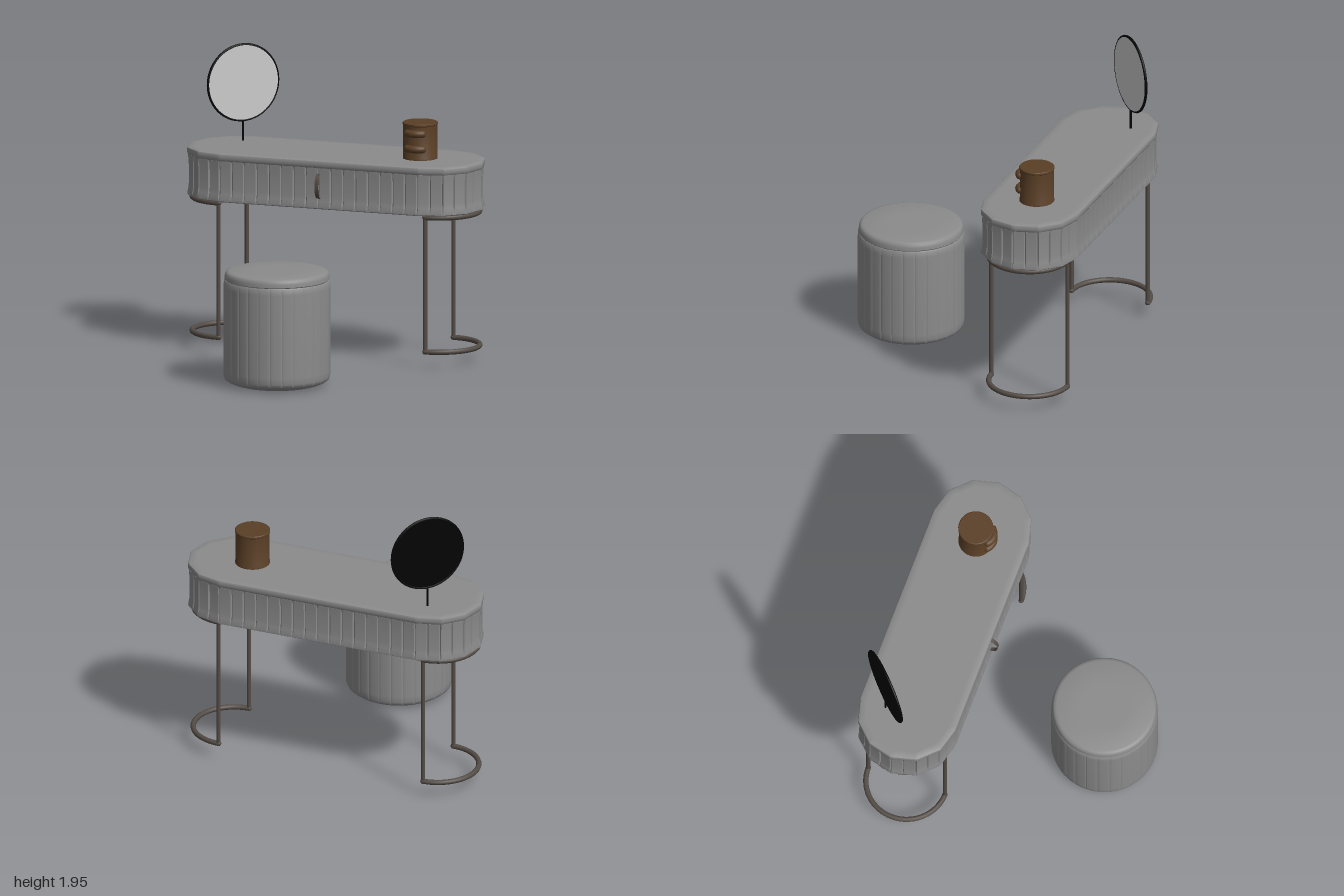
import * as THREE from 'three';
import { toCreasedNormals } from 'three/addons/utils/BufferGeometryUtils.js';

const glass = new THREE.MeshStandardMaterial({ color: 0xcccccc });
const grey = new THREE.MeshStandardMaterial({ color: 0x8b8b8b });
const metal = new THREE.MeshStandardMaterial({ color: 0x544c46 });
const metalBand = new THREE.MeshStandardMaterial({ color: 0x544c46, side: THREE.DoubleSide });
const brown = new THREE.MeshStandardMaterial({ color: 0x5a3f26 });
const black = new THREE.MeshStandardMaterial({ color: 0x030303 });

function add(parent, name, geometry, material, x = 0, y = 0, z = 0) {
  const mesh = new THREE.Mesh(geometry, material);
  mesh.name = name;
  mesh.position.set(x, y, z);
  parent.add(mesh);
  return mesh;
}

// Closed solid from stacked rings: each row is [y, inset, groove depth].
// Outline points lie in the xz plane; core is the half length of the straight side.
function loft(outline, core, rows, grooveStep) {
  const n = outline.length, pos = [], index = [];
  for (const [y, inset, groove] of rows) {
    outline.forEach((p, j) => {
      const dx = p.x - THREE.MathUtils.clamp(p.x, -core, core);
      const len = Math.hypot(dx, p.y);
      const d = inset + (j % grooveStep === 0 ? groove : 0);
      pos.push(p.x - (dx / len) * d, y, p.y - (p.y / len) * d);
    });
  }
  for (let i = 0; i < rows.length - 1; i++) {
    for (let j = 0; j < n; j++) {
      const k = (j + 1) % n, a = i * n, b = a + n;
      index.push(a + j, b + j, a + k, b + j, b + k, a + k);
    }
  }
  const last = (rows.length - 1) * n, bottom = rows.length * n;
  pos.push(0, rows[0][0], 0, 0, rows[rows.length - 1][0], 0);
  for (let j = 0; j < n; j++) {
    const k = (j + 1) % n;
    index.push(bottom, j, k, bottom + 1, last + k, last + j);
  }
  const g = new THREE.BufferGeometry();
  g.setAttribute('position', new THREE.Float32BufferAttribute(pos, 3));
  g.setIndex(index);
  return toCreasedNormals(g, 0.6);
}

// Evenly spaced points on a long outline with six-sided half-round ends
function tableOutline(count) {
  const path = new THREE.Path();
  for (const side of [1, -1]) {
    for (let i = 0; i <= 6; i++) {
      const a = ((i - 3) * Math.PI) / 6;
      const x = side * (0.68 + 0.32 * Math.cos(a)), z = side * 0.325 * Math.sin(a);
      if (side === 1 && i === 0) path.moveTo(x, z);
      else path.lineTo(x, z);
    }
  }
  path.closePath();
  return path.getSpacedPoints(count).slice(0, count);
}

function circleOutline(r, count) {
  return Array.from({ length: count }, (_, i) => {
    const a = (i / count) * Math.PI * 2;
    return new THREE.Vector2(Math.cos(a) * r, Math.sin(a) * r);
  });
}

function makeTable() {
  const table = new THREE.Group();
  table.name = 'table';
  table.position.z = -0.55;
  const outline = tableOutline(672);

  // Fluted, slightly waisted drawer body and plain top slab
  add(table, 'flutedBody', loft(outline, 0.68, [
    [1.0, 0.05, 0], [1.0, 0.012, 0], [1.006, 0.003, 0], [1.02, 0.002, 0.004], [1.05, 0.008, 0.008],
    [1.08, 0.011, 0.008], [1.2, 0.011, 0.008], [1.24, 0.008, 0.008], [1.268, 0.006, 0.004],
  ], 12), grey);
  add(table, 'tableTop', loft(outline, 0.68, [
    [1.264, 0.01, 0], [1.272, 0.004, 0], [1.285, 0, 0], [1.305, 0, 0],
    [1.312, 0.003, 0], [1.317, 0.012, 0], [1.317, 0.05, 0],
  ], 12), grey);

  // Curved strap pull on the drawer front
  const pull = new THREE.CylinderGeometry(1, 1, 0.026, 24, 1, true, -Math.PI / 2, Math.PI);
  pull.rotateZ(Math.PI / 2);
  pull.scale(1, 0.082, 0.052);
  add(table, 'drawerPull', pull, metalBand, 0, 1.15, 0.312);

  // Leg frames: two posts joined by half rings at top and bottom
  for (const side of [1, -1]) {
    const leg = new THREE.Group();
    leg.name = side > 0 ? 'leftLegFrame' : 'rightLegFrame';
    for (const z of [-0.262, 0.262]) {
      add(leg, 'legPost', new THREE.CylinderGeometry(0.014, 0.014, 0.89, 12), metal, side * 0.705, 0.54, z);
    }
    for (const [y, name] of [[0.983, 'upperRing'], [0.107, 'footRing']]) {
      const ring = new THREE.TorusGeometry(0.262, 0.017, 10, 32, Math.PI);
      ring.rotateX(Math.PI / 2);
      ring.rotateY((side * Math.PI) / 2);
      add(leg, name, ring, metal, side * 0.703, y, 0);
      for (const z of [-0.262, 0.262]) {
        add(leg, 'ringEnd', new THREE.SphereGeometry(0.017, 12, 8), metal, side * 0.703, y, z);
      }
    }
    table.add(leg);
  }
  return table;
}

function makeStool() {
  const stool = new THREE.Group();
  stool.name = 'stool';
  stool.position.z = 0.54;
  const outline = circleOutline(0.342, 336);
  add(stool, 'stoolBody', loft(outline, 0, [
    [0, 0.16, 0], [0.004, 0.09, 0], [0.014, 0.055, 0], [0.026, 0.026, 0], [0.04, 0.008, 0.001],
    [0.06, 0.001, 0.003], [0.1, 0, 0.003], [0.64, 0, 0.003], [0.675, 0.002, 0.002], [0.685, 0.008, 0],
  ], 12), grey);
  add(stool, 'seatCushion', loft(circleOutline(0.342, 64), 0, [
    [0.68, 0.014, 0], [0.69, 0.006, 0], [0.71, 0.007, 0], [0.728, 0.011, 0],
    [0.738, 0.02, 0], [0.743, 0.036, 0], [0.746, 0.18, 0], [0.746, 0.22, 0],
  ], 8), grey);
  return stool;
}

function makeMirror() {
  const mirror = new THREE.Group();
  mirror.name = 'mirror';
  mirror.position.set(-0.69, 1.697, -0.7);
  mirror.rotation.y = Math.PI / 4;
  const back = new THREE.CylinderGeometry(0.246, 0.246, 0.012, 64);
  back.rotateX(Math.PI / 2);
  add(mirror, 'mirrorBack', back, black);
  add(mirror, 'mirrorGlass', new THREE.CircleGeometry(0.243, 64), glass, 0, 0, 0.008);
  add(mirror, 'mirrorRim', new THREE.TorusGeometry(0.246, 0.009, 10, 64), black);
  add(mirror, 'mirrorStem', new THREE.CylinderGeometry(0.007, 0.007, 0.15, 12), black, 0, -0.315, 0);
  return mirror;
}

function makeCanister() {
  const canister = new THREE.Group();
  canister.name = 'canister';
  canister.position.set(0.575, 1.315, -0.55);
  const profile = [[0, 0], [0.112, 0], [0.112, 0.012], [0.109, 0.018], [0.109, 0.22],
    [0.113, 0.224], [0.113, 0.234], [0.108, 0.238], [0, 0.238]].map(([r, y]) => new THREE.Vector2(r, y));
  add(canister, 'canisterBody', toCreasedNormals(new THREE.LatheGeometry(profile, 40), 0.5), brown);

  // Two horizontal rounded grips on the front
  const curve = new THREE.QuadraticBezierCurve3(
    new THREE.Vector3(-0.05, 0, 0.098), new THREE.Vector3(0, 0, 0.138), new THREE.Vector3(0.05, 0, 0.098));
  for (const y of [0.076, 0.176]) {
    add(canister, 'grip', new THREE.TubeGeometry(curve, 16, 0.024, 12), brown, 0, y, 0);
    for (const x of [-0.05, 0.05]) {
      add(canister, 'gripEnd', new THREE.SphereGeometry(0.024, 14, 10), brown, x, y, 0.098);
    }
  }
  return canister;
}

export function createModel() {
  const model = new THREE.Group();
  model.name = 'dressingTableSet';
  model.add(makeTable(), makeStool(), makeMirror(), makeCanister());
  return model;
}
